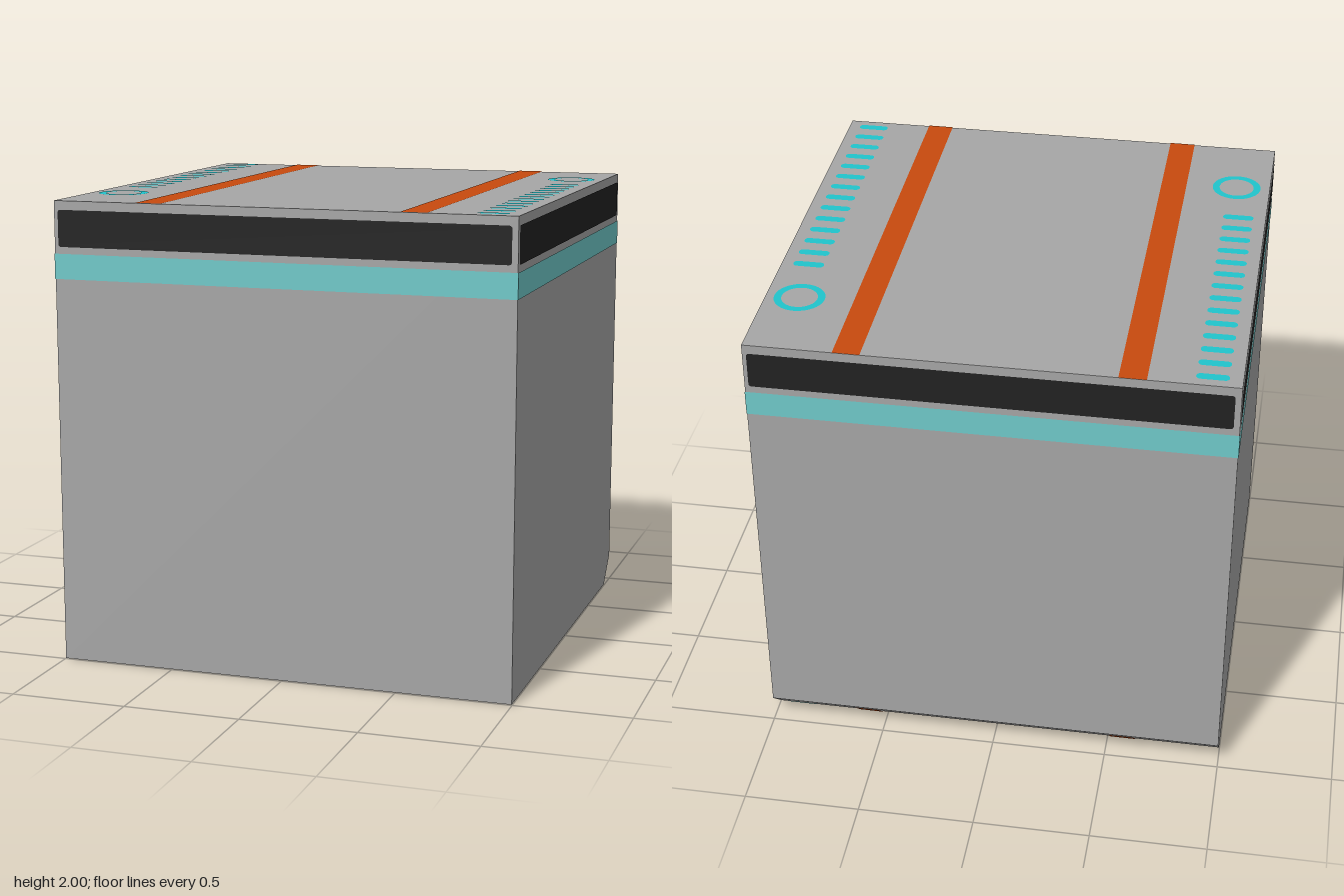
import * as THREE from 'three';

const E = 0.002; // thickness of painted details
const CUT = 0.12; // size of the bevelled lower back edge

function material(name, color) {
  const m = new THREE.MeshStandardMaterial({ color });
  m.name = name;
  return m;
}

// Rectangle centred on (x, y) with rounded corners
function roundedRect(x, y, w, h, r) {
  const s = new THREE.Shape();
  const a = w / 2 - r, b = h / 2 - r;
  s.absarc(x + a, y + b, r, 0, Math.PI / 2);
  s.absarc(x - a, y + b, r, Math.PI / 2, Math.PI);
  s.absarc(x - a, y - b, r, Math.PI, Math.PI * 1.5);
  s.absarc(x + a, y - b, r, Math.PI * 1.5, Math.PI * 2);
  return s;
}

function rect(x0, x1, y0, y1) {
  return new THREE.Shape([[x0, y0], [x1, y0], [x1, y1], [x0, y1]].map(p => new THREE.Vector2(...p)));
}

function ring(x, y) {
  const s = new THREE.Shape();
  s.absarc(x, y, 0.107, 0, Math.PI * 2);
  const hole = new THREE.Path();
  hole.absarc(x, y, 0.076, 0, Math.PI * 2, true);
  s.holes.push(hole);
  return s;
}

function paint(name, shapes, mat) {
  const mesh = new THREE.Mesh(new THREE.ShapeGeometry(shapes, 16), mat);
  mesh.name = name;
  return mesh;
}

export function createModel() {
  const grey = material('grey body', 0xa6a6a6);
  const black = material('black panel', 0x222222);
  const aqua = material('pale aqua band', 0x70c9c9);
  const orange = material('orange stripe', 0xc84a0e);
  const cyan = material('cyan marking', 0x20c4cc);

  const model = new THREE.Group();
  model.name = 'bevelledCube';

  // Body: side profile (z, y) extruded across the width
  const h = 1 - E;
  const profile = new THREE.Shape([
    [-h + CUT, E], [h, E], [h, 2 - E], [-h, 2 - E], [-h, E + CUT],
  ].map(p => new THREE.Vector2(...p)));
  const bodyGeo = new THREE.ExtrudeGeometry(profile, { depth: 2 * h, bevelEnabled: false });
  bodyGeo.translate(0, 0, -h).rotateY(-Math.PI / 2);
  const body = new THREE.Mesh(bodyGeo, grey);
  body.name = 'body';
  model.add(body);

  // Dark panel and aqua band on each of the four sides
  for (let i = 0; i < 4; i++) {
    const side = new THREE.Group();
    side.name = 'sideTrim';
    const panel = paint('darkPanel', roundedRect(-0.004, 1.882, 1.954, 0.156, 0.012), black);
    const band = paint('aquaBand', rect(-1, 1, 1.668, 1.775), aqua);
    panel.position.z = band.position.z = 1;
    side.add(panel, band);
    side.rotation.y = i * Math.PI / 2;
    model.add(side);
  }

  // Stripes, dashes and rings for a horizontal face; shape y is -z
  const stripes = (y0, y1) => [-0.57, 0.572].map(x => rect(x - 0.056, x + 0.056, y0, y1));
  function markings(name, backEdge) {
    const group = new THREE.Group();
    group.name = name;
    const marks = [ring(-0.85, -0.615), ring(0.855, 0.61)];
    for (let i = 0; i < 14; i++) {
      const y = 0.938 - i * 0.0985;
      if (y < backEdge) marks.push(roundedRect(-0.878, y, 0.132, 0.04, 0.018));
      marks.push(roundedRect(0.882, -y, 0.132, 0.04, 0.018));
    }
    group.add(paint('stripes', stripes(-1, backEdge), orange), paint('dashesAndRings', marks, cyan));
    group.children.forEach(m => { m.rotation.x = -Math.PI / 2; });
    return group;
  }

  const top = markings('topMarkings', 1);
  top.position.y = 2;
  const bottom = markings('bottomMarkings', 1 - CUT);
  bottom.rotation.z = Math.PI;
  model.add(top, bottom);

  // Markings continued over the bevelled edge
  const bevel = new THREE.Group();
  bevel.name = 'bevelMarkings';
  const half = CUT / Math.SQRT2;
  bevel.add(
    paint('bevelStripes', stripes(-half, half), orange),
    paint('bevelDash', roundedRect(0.878, 0, 0.132, 0.057, 0.022), cyan),
  );
  bevel.position.set(0, CUT / 2, -1 + CUT / 2);
  bevel.rotation.x = Math.PI * 0.75;
  model.add(bevel);

  return model;
}
